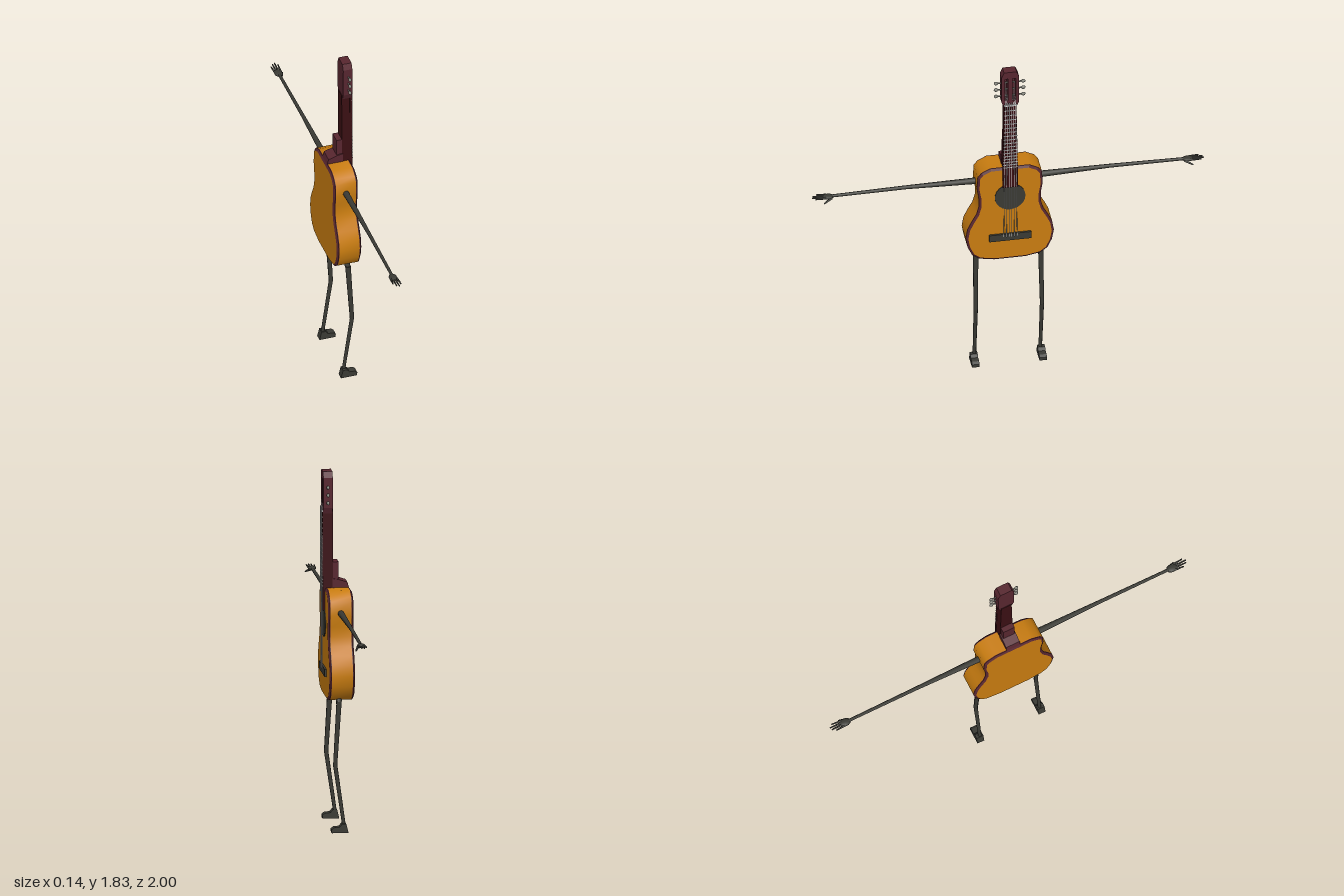
import * as THREE from 'three';
import { toCreasedNormals } from 'three/addons/utils/BufferGeometryUtils.js';

const mat = (name, color) => {
  const m = new THREE.MeshStandardMaterial({ color });
  m.name = name;
  return m;
};

export function createModel() {
  const wood = mat('amber wood', 0xc87c10);
  const trim = mat('burgundy wood', 0x57262f);
  const neckWood = mat('dark maroon wood', 0x3a0f13);
  const dark = mat('charcoal', 0x3a3a34);
  const steel = mat('string silver', 0xdcdcdc);
  const metal = mat('peg grey', 0x85857c);

  // Built facing +z, then turned so the soundboard faces +x
  const guitar = new THREE.Group();
  guitar.name = 'guitarCharacter';

  const add = (name, geo, material, parent = guitar) => {
    const m = new THREE.Mesh(geo, material);
    m.name = name;
    parent.add(m);
    return m;
  };
  const box = (name, w, h, d, x, y, z, material) => {
    const m = add(name, new THREE.BoxGeometry(w, h, d), material);
    m.position.set(x, y, z);
    return m;
  };
  // Tapered round bar between two points
  const limb = (name, a, b, ra, rb, material, parent = guitar, sides = 8) => {
    const p = new THREE.Vector3(...a), q = new THREE.Vector3(...b);
    const dir = q.clone().sub(p);
    const m = add(name, new THREE.CylinderGeometry(rb, ra, dir.length(), sides), material, parent);
    m.position.copy(p).add(q).multiplyScalar(0.5);
    m.quaternion.setFromUnitVectors(new THREE.Vector3(0, 1, 0), dir.normalize());
    return m;
  };
  const ball = (name, p, r, s, material, parent = guitar) => {
    const m = add(name, new THREE.SphereGeometry(r, 10, 8), material, parent);
    m.position.set(...p);
    m.scale.set(...s);
    return m;
  };
  // Symmetric outline from its +x half, listed bottom to top
  const mirrored = (half) => new THREE.Shape([
    ...half.map(([x, y]) => new THREE.Vector2(x, y)),
    ...half.slice().reverse().map(([x, y]) => new THREE.Vector2(-x, y)),
  ]);
  const slab = (shape, z0, z1) => new THREE.ExtrudeGeometry(shape, { depth: z1 - z0, bevelEnabled: false }).translate(0, 0, z0);

  // Body: walls, plus front and back plates with a bevelled binding
  const outline = mirrored([
    [0.08, 0.664], [0.155, 0.678], [0.192, 0.705], [0.215, 0.755], [0.225, 0.81], [0.216, 0.865],
    [0.195, 0.91], [0.17, 0.955], [0.158, 1.0], [0.158, 1.05], [0.168, 1.11], [0.164, 1.18],
    [0.145, 1.205], [0.1, 1.228],
  ]);
  add('bodyWalls', toCreasedNormals(slab(outline, -0.063, 0.043), 0.6), wood);
  const plate = new THREE.ExtrudeGeometry(outline, {
    depth: 0.004, bevelEnabled: true, bevelSegments: 1, bevelSize: 0.012, bevelThickness: 0.008, bevelOffset: -0.012,
  });
  add('soundboard', plate, [wood, trim]).position.z = 0.043;
  add('backPlate', plate, [wood, trim]).position.z = -0.067;

  // Sound hole and bridge
  const hole = add('soundHole', new THREE.CylinderGeometry(0.078, 0.078, 0.004, 24), dark);
  hole.rotation.x = Math.PI / 2;
  hole.position.set(0, 1.05, 0.056);
  box('bridge', 0.214, 0.04, 0.012, 0, 0.805, 0.059, dark);

  // Neck, fretboard and heel
  add('neck', slab(mirrored([[0.036, 1.22], [0.029, 1.63]]), 0.012, 0.056), neckWood);
  add('fretboard', slab(mirrored([[0.04, 1.113], [0.031, 1.62]]), 0.054, 0.065), neckWood);
  box('heel', 0.064, 0.14, 0.034, 0, 1.29, 0.001, trim);
  const side = new THREE.Shape([[-0.07, 1.22], [0.015, 1.22], [0.015, 1.275], [-0.015, 1.27], [-0.06, 1.255]]
    .map(([z, y]) => new THREE.Vector2(-z, y)));
  const cap = add('heelCap', slab(side, -0.038, 0.038), trim);
  cap.rotation.y = Math.PI / 2;

  // Frets, closing up toward the sound hole
  for (let i = 0; i < 18; i++) {
    const y = 0.81 + 0.81 * Math.pow(2, -i / 18.5);
    if (y > 1.12) box('fret', 0.062 + (1.62 - y) * 0.034, 0.004, 0.005, 0, y, 0.066, steel);
  }
  box('nut', 0.064, 0.008, 0.012, 0, 1.622, 0.063, steel);

  // Strings
  for (let i = 0; i < 6; i++) {
    const k = (i - 2.5) / 2.5;
    limb('string', [k * 0.034, 0.81, 0.066], [k * 0.026, 1.64, 0.068], 0.0016, 0.0016, steel, guitar, 5);
  }

  // Slotted headstock on a closed back
  const headHalf = [[0.032, 1.61], [0.044, 1.64], [0.045, 1.795], [0.032, 1.825]];
  const slotted = mirrored(headHalf);
  for (const s of [-1, 1]) {
    slotted.holes.push(new THREE.Path([[0.012, 1.65], [0.028, 1.65], [0.028, 1.785], [0.012, 1.785]]
      .map(([x, y]) => new THREE.Vector2(s * x, y))));
  }
  add('headstock', slab(slotted, 0.024, 0.063), trim);
  add('headstockBack', slab(mirrored(headHalf), 0.015, 0.024), trim);

  for (const s of [-1, 1]) {
    // Tuning pegs with a string running to each roller
    [1.67, 1.71, 1.75].forEach((y, i) => {
      limb('pegShaft', [s * 0.01, y, 0.042], [s * 0.068, y, 0.042], 0.004, 0.004, metal);
      ball('pegKnob', [s * 0.07, y, 0.042], 0.011, [1, 0.9, 0.7], metal);
      const x = s * (0.014 + i * 0.005);
      limb('headString', [x, 1.63, 0.067], [x, y, 0.047], 0.0015, 0.0015, steel, guitar, 5);
    });

    // Arm reaching straight out, with a hand
    const arm = new THREE.Group();
    arm.name = s < 0 ? 'leftArm' : 'rightArm';
    guitar.add(arm);
    const z = -0.01;
    limb('upperArm', [s * 0.15, 1.122, z], [s * 0.52, 1.127, z], 0.017, 0.01, dark, arm);
    limb('forearm', [s * 0.52, 1.127, z], [s * 0.9, 1.122, z], 0.01, 0.008, dark, arm);
    ball('palm', [s * 0.918, 1.121, z], 0.03, [1, 0.35, 0.72], dark, arm);
    [0.976, 0.995, 1.0, 0.985].forEach((tip, i) => {
      const f = i - 1.5;
      limb('finger', [s * 0.925, 1.122, z + f * 0.01], [s * tip, 1.124, z + f * 0.013], 0.006, 0.0035, dark, arm, 6);
    });
    limb('thumb', [s * 0.9, 1.118, z + 0.012], [s * 0.942, 1.1, z + 0.03], 0.007, 0.004, dark, arm, 6);

    // Bent leg with a foot
    const leg = new THREE.Group();
    leg.name = s < 0 ? 'leftLeg' : 'rightLeg';
    guitar.add(leg);
    limb('hip', [s * 0.14, 0.7, -0.003], [s * 0.167, 0.655, 0.001], 0.018, 0.013, dark, leg);
    limb('thigh', [s * 0.166, 0.67, 0], [s * 0.169, 0.345, 0.02], 0.014, 0.011, dark, leg);
    ball('knee', [s * 0.169, 0.345, 0.02], 0.011, [1, 1, 1], dark, leg);
    limb('shin', [s * 0.169, 0.345, 0.02], [s * 0.168, 0.025, -0.026], 0.011, 0.009, dark, leg);
    const foot = new THREE.Shape([[-0.045, 0], [0.04, 0], [0.041, 0.018], [0.028, 0.028], [0, 0.03], [-0.012, 0.045], [-0.034, 0.045]]
      .map(([a, y]) => new THREE.Vector2(-a, y)));
    const shoe = add('foot', slab(foot, -0.019, 0.019), dark, leg);
    shoe.rotation.y = Math.PI / 2;
    shoe.position.x = s * 0.172;
  }

  guitar.rotation.y = Math.PI / 2;
  const model = new THREE.Group();
  model.add(guitar);
  return model;
}
